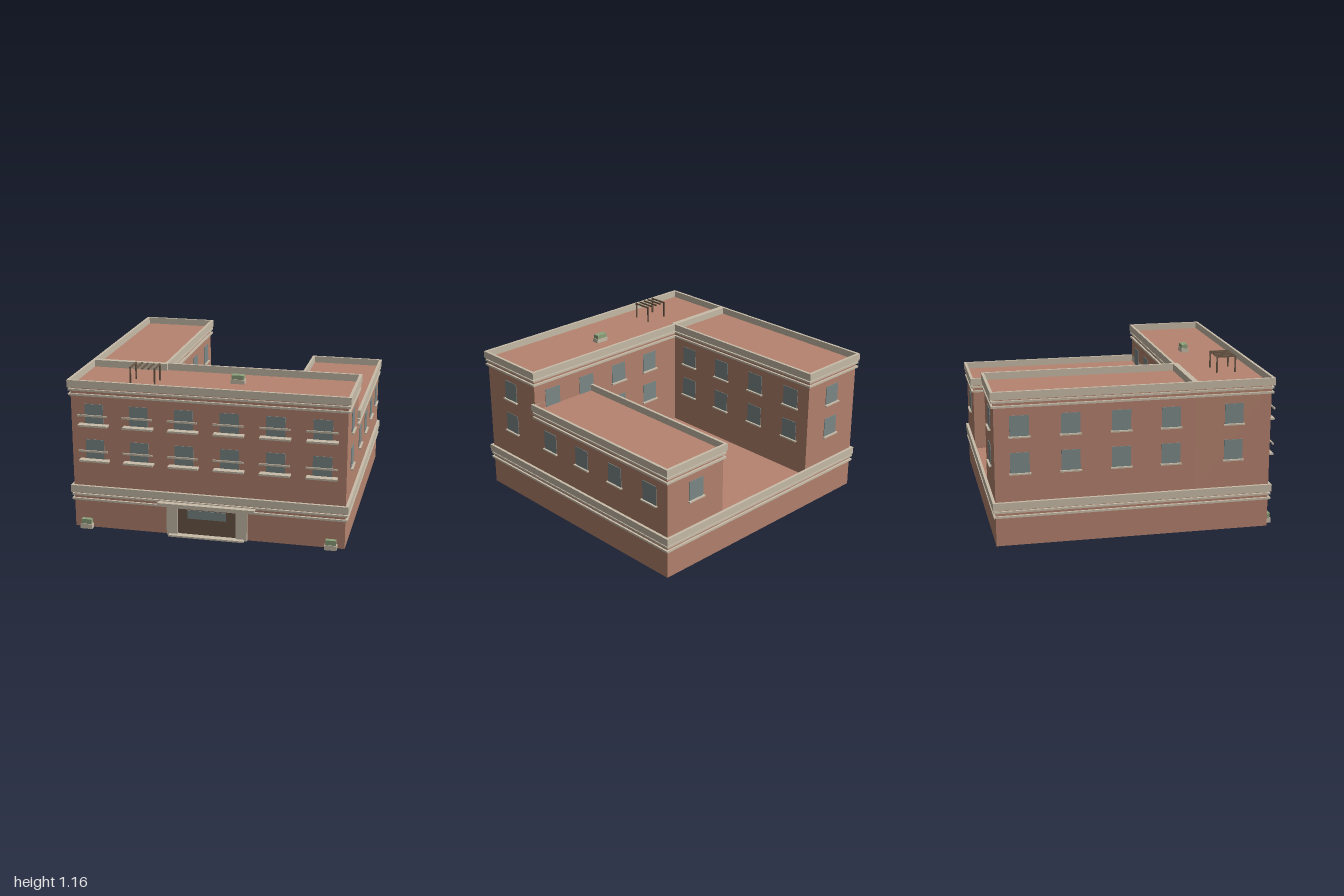
import * as THREE from 'three';

const mat = (color) => new THREE.MeshStandardMaterial({ color });
const brick = mat(0xb5836f), trim = mat(0xc9bda9), glass = mat(0x7d8a88);
const brown = mat(0x6e5a48), green = mat(0x8fa37c);

// Box given by its lower and upper limits on each axis
function box(parent, name, material, x0, x1, y0, y1, z0, z1) {
  const mesh = new THREE.Mesh(new THREE.BoxGeometry(x1 - x0, y1 - y0, z1 - z0), material);
  mesh.position.set((x0 + x1) / 2, (y0 + y1) / 2, (z0 + z1) / 2);
  mesh.name = name;
  parent.add(mesh);
}

// Rectangular ring hugging the outside of a block's walls
function ring(parent, name, { x0, x1, z0, z1 }, out, y0, y1) {
  const rect = (path, o) => path
    .moveTo(x0 - o, -z1 - o).lineTo(x1 + o, -z1 - o)
    .lineTo(x1 + o, -z0 + o).lineTo(x0 - o, -z0 + o).closePath();
  const shape = new THREE.Shape();
  rect(shape, out);
  const hole = new THREE.Path();
  rect(hole, 0);
  shape.holes.push(hole);
  const geo = new THREE.ExtrudeGeometry(shape, { depth: y1 - y0, bevelEnabled: false });
  geo.rotateX(-Math.PI / 2);
  const mesh = new THREE.Mesh(geo, trim);
  mesh.position.y = y0;
  mesh.name = name;
  parent.add(mesh);
}

// Brick block with a parapet and two string courses below it
function block(parent, name, plan, bottom, top) {
  const g = new THREE.Group();
  g.name = name;
  box(g, 'walls', brick, plan.x0, plan.x1, bottom, top - 0.05, plan.z0, plan.z1);
  ring(g, 'parapet', plan, 0.02, top - 0.053, top);
  ring(g, 'upperCourse', plan, 0.015, top - 0.077, top - 0.063);
  ring(g, 'lowerCourse', plan, 0.015, top - 0.111, top - 0.097);
  parent.add(g);
}

// Window with sill; local +z points out of the wall
function windowUnit(parent, x, y, z, angle, balcony = false) {
  const g = new THREE.Group();
  g.name = balcony ? 'balconyWindow' : 'window';
  box(g, 'pane', glass, -0.066, 0.066, 0, 0.143, -0.005, 0.004);
  if (balcony) {
    box(g, 'balconySlab', trim, -0.106, 0.106, -0.01, 0.003, -0.005, 0.052);
    box(g, 'balconyRail', trim, -0.106, 0.106, 0.065, 0.078, 0.043, 0.052);
  } else {
    box(g, 'sill', trim, -0.075, 0.075, -0.01, 0, -0.005, 0.018);
  }
  g.position.set(x, y, z);
  g.rotation.y = angle;
  parent.add(g);
}

function planter(parent, x, y, z, w, d, h) {
  const g = new THREE.Group();
  g.name = 'planter';
  box(g, 'planterBox', trim, -w / 2, w / 2, 0, h / 2, -d / 2, d / 2);
  box(g, 'shrub', green, -w / 2 + 0.006, w / 2 - 0.006, h / 2, h, -d / 2 + 0.002, d / 2 - 0.006);
  g.position.set(x, y, z);
  parent.add(g);
}

export function createModel() {
  const model = new THREE.Group();
  model.name = 'building';
  const X = 0.965, BACK = -0.978, FRONT = 0.945, MID = 0.4, IN = 0.44;
  const ROWS = [0.515, 0.773];
  const HALF = Math.PI / 2;

  // Masonry: ground storey, front block and two rear wings
  block(model, 'base', { x0: -X, x1: X, z0: BACK, z1: FRONT }, 0, 0.314);
  block(model, 'frontBlock', { x0: -X, x1: X, z0: MID, z1: FRONT }, 0.26, 1.085);
  block(model, 'rightWing', { x0: -X, x1: -IN, z0: BACK, z1: MID }, 0.26, 1.085);
  block(model, 'leftWing', { x0: IN, x1: X, z0: BACK, z1: MID }, 0.26, 0.83);

  // Windows
  const wingZ = [0.235, -0.112, -0.46, -0.807];
  ROWS.forEach((y, row) => {
    for (let i = 0; i < 6; i++) {
      const x = -0.8 + i * 0.32;
      windowUnit(model, x, y, FRONT, 0, true);
      // Courtyard side of the front block, where no wing covers it
      const inCourt = Math.abs(x) < 0.3;
      if (inCourt || (row === 1 && x > 0)) windowUnit(model, x, y, MID, Math.PI);
    }
    for (const s of [-1, 1]) windowUnit(model, s * X, y, 0.68, s * HALF);
    for (const z of wingZ) {
      windowUnit(model, -X, y, z, -HALF);
      windowUnit(model, -IN, y, z, HALF);
      if (row === 0) {
        windowUnit(model, X, y, z, HALF);
        windowUnit(model, IN, y, z, -HALF);
      }
    }
    windowUnit(model, -0.7, y, BACK, Math.PI);
    if (row === 0) windowUnit(model, 0.7, y, BACK, Math.PI);
  });

  // Entrance
  const entrance = new THREE.Group();
  entrance.name = 'entrance';
  for (const s of [-1, 1]) {
    const a = s * 0.208, b = s * 0.287;
    box(entrance, 'doorPillar', trim, Math.min(a, b), Math.max(a, b), 0, 0.232, 0.94, 0.968);
  }
  box(entrance, 'lintel', trim, -0.208, 0.208, 0.203, 0.232, 0.94, 0.968);
  box(entrance, 'door', brown, -0.208, 0.208, 0, 0.203, 0.94, 0.952);
  box(entrance, 'doorGlass', glass, -0.137, 0.137, 0.13, 0.192, 0.945, 0.957);
  box(entrance, 'canopy', trim, -0.345, 0.345, 0.232, 0.245, 0.94, 1);
  box(entrance, 'step', trim, -0.268, 0.268, 0, 0.012, 0.94, 1);
  model.add(entrance);

  // Planters at the front corners and on the roof
  for (const s of [-1, 1]) planter(model, s * 0.873, 0, 0.972, 0.085, 0.04, 0.07);
  planter(model, 0.148, 1.035, 0.617, 0.1, 0.055, 0.06);

  // Roof pergola: five slats, posts under the outer two
  const pergola = new THREE.Group();
  pergola.name = 'pergola';
  for (let i = 0; i < 5; i++) {
    const x = -0.575 + i * 0.0435, r = 0.005;
    box(pergola, 'slat', brown, x - r, x + r, 1.147, 1.158, 0.663, 0.808);
    if (i % 4 === 0) {
      for (const z of [0.668, 0.803]) box(pergola, 'post', brown, x - r, x + r, 1.03, 1.147, z - r, z + r);
    }
  }
  model.add(pergola);
  return model;
}
